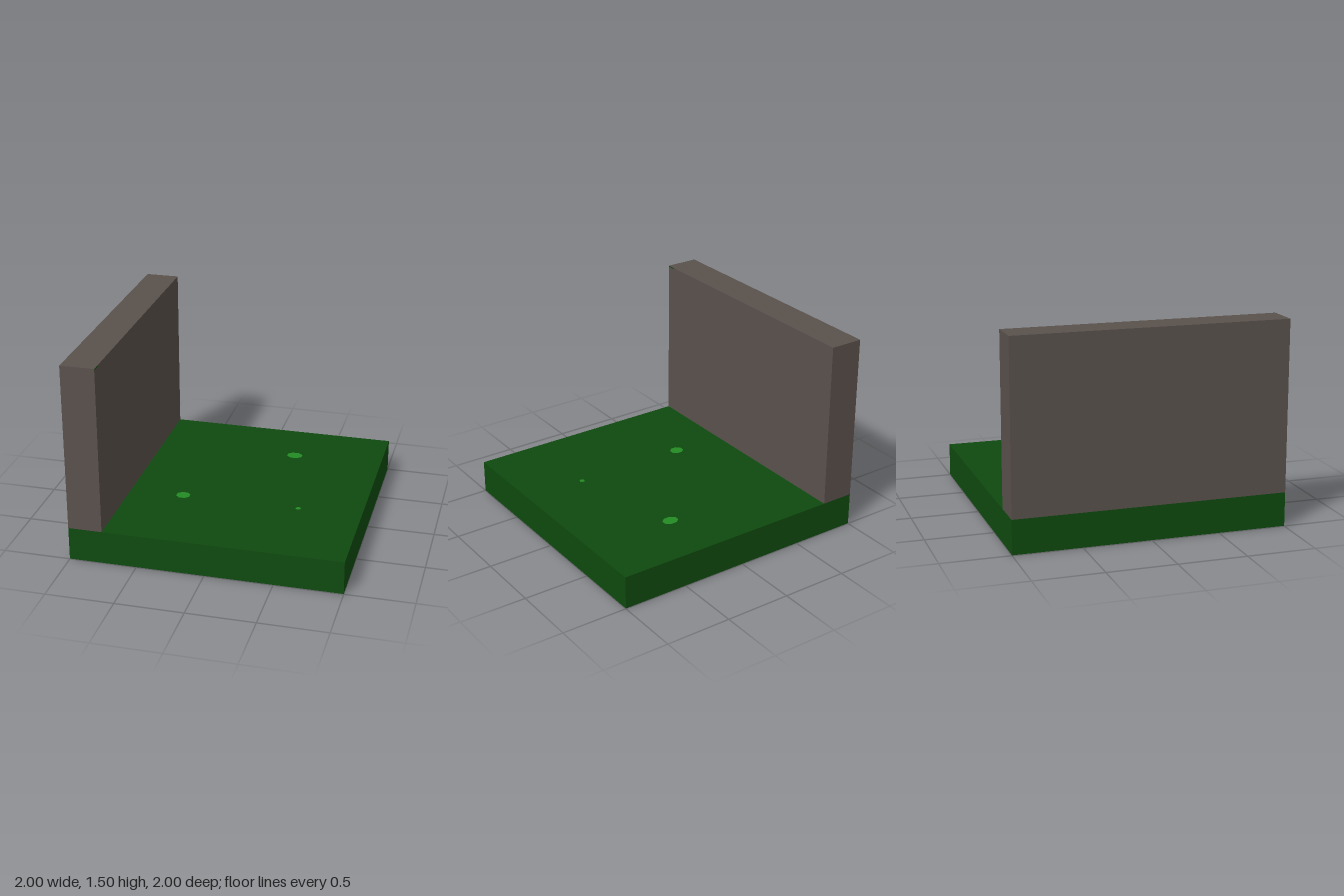
import * as THREE from 'three';

function flat(name, color) {
  const m = new THREE.MeshStandardMaterial({ color });
  m.name = name;
  return m;
}

export function createModel() {
  const group = new THREE.Group();
  const darkGreen = flat('darkGreen', 0x0f4a0f);
  const leafGreen = flat('leafGreen', 0x228b22);
  const stone = flat('stone', 0x5a514c);

  function add(name, geometry, material, x, y, z) {
    const mesh = new THREE.Mesh(geometry, material);
    mesh.name = name;
    mesh.position.set(x, y, z);
    group.add(mesh);
    return mesh;
  }

  // Ground slab and the wall along its right edge
  add('groundSlab', new THREE.BoxGeometry(2, 0.25, 2), darkGreen, 0, 0.125, 0);
  add('wall', new THREE.BoxGeometry(0.25, 1.25, 2), stone, -0.875, 0.875, 0);

  // Small moss fleck at the wall's top front corner
  add('mossFleck', new THREE.BoxGeometry(0.002, 0.008, 0.07), darkGreen, -0.75, 1.496, 0.965);

  // Flat eight-sided grass spots: x, z, width, depth
  const spot = new THREE.CylinderGeometry(0.54, 0.54, 0.004, 8);
  spot.rotateY(Math.PI / 8);
  function addSpot(name, y, [x, z, width, depth]) {
    add(name, spot, leafGreen, x, y, z).scale.set(width, 1, depth);
  }
  [[0.32, -0.555, 0.115, 0.09], [-0.345, 0.31, 0.1, 0.09], [0.53, 0.31, 0.036, 0.036]]
    .forEach((s) => addSpot('topSpot', 0.25, s));
  [[-0.07, -0.29, 0.1, 0.09], [-0.08, 0.68, 0.1, 0.09]]
    .forEach((s) => addSpot('undersideSpot', 0, s));

  return group;
}
